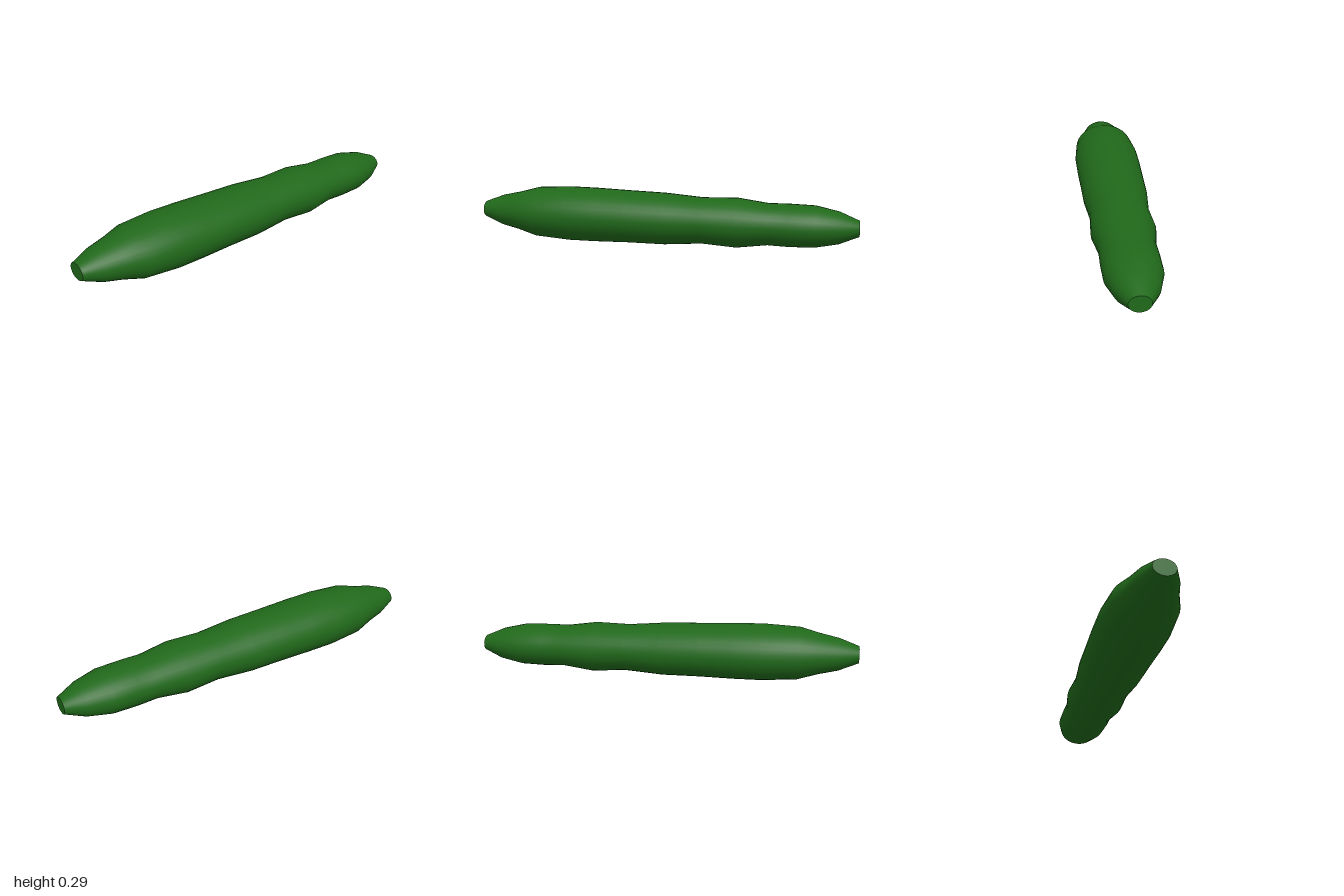
import * as THREE from 'three';

const SIDES = 32;

// Stations along the body: x, top y, bottom y, half width in z
const STATIONS = [
  [-1, 0.205, 0.12, 0.055],
  [-0.9, 0.241, 0.078, 0.1],
  [-0.8, 0.262, 0.054, 0.128],
  [-0.7, 0.288, 0.023, 0.164],
  [-0.52, 0.295, 0.008, 0.181],
  [-0.37, 0.291, 0.006, 0.18],
  [-0.2, 0.283, 0.007, 0.175],
  [0, 0.275, 0.004, 0.17],
  [0.2, 0.257, 0.016, 0.152],
  [0.38, 0.26, 0.002, 0.161],
  [0.54, 0.237, 0.021, 0.138],
  [0.65, 0.237, 0.016, 0.14],
  [0.78, 0.232, 0.018, 0.137],
  [0.9, 0.205, 0.04, 0.104],
  [1, 0.162, 0.08, 0.052],
];

// Points of the oval section at one station
function ring([x, top, bottom, halfWidth]) {
  const points = [];
  for (let j = 0; j < SIDES; j++) {
    const a = (j / SIDES) * Math.PI * 2;
    const y = (top + bottom) / 2 + ((top - bottom) / 2) * Math.cos(a);
    points.push(x, y, halfWidth * Math.sin(a));
  }
  return points;
}

function makeGeometry(positions, index) {
  const geometry = new THREE.BufferGeometry();
  geometry.setAttribute('position', new THREE.Float32BufferAttribute(positions, 3));
  geometry.setIndex(index);
  geometry.computeVertexNormals();
  return geometry;
}

// Skin lofted through all the sections
function bodyGeometry() {
  const index = [];
  for (let i = 0; i < STATIONS.length - 1; i++) {
    for (let j = 0; j < SIDES; j++) {
      const a = i * SIDES + j;
      const b = i * SIDES + ((j + 1) % SIDES);
      index.push(a, b, a + SIDES, b, b + SIDES, a + SIDES);
    }
  }
  return makeGeometry(STATIONS.flatMap(ring), index);
}

// Flat oval closing one end
function capGeometry(station, facesRight) {
  const [x, top, bottom] = station;
  const index = [];
  for (let j = 0; j < SIDES; j++) {
    const k = (j + 1) % SIDES;
    index.push(SIDES, ...(facesRight ? [j, k] : [k, j]));
  }
  return makeGeometry([...ring(station), x, (top + bottom) / 2, 0], index);
}

export function createModel() {
  const group = new THREE.Group();
  group.name = 'cucumber';
  const skin = new THREE.MeshStandardMaterial({ color: 0x20681a });

  const add = (name, geometry) => {
    const mesh = new THREE.Mesh(geometry, skin);
    mesh.name = name;
    group.add(mesh);
  };

  add('body', bodyGeometry());
  add('stemEnd', capGeometry(STATIONS[0], false));
  add('blossomEnd', capGeometry(STATIONS[STATIONS.length - 1], true));
  return group;
}
